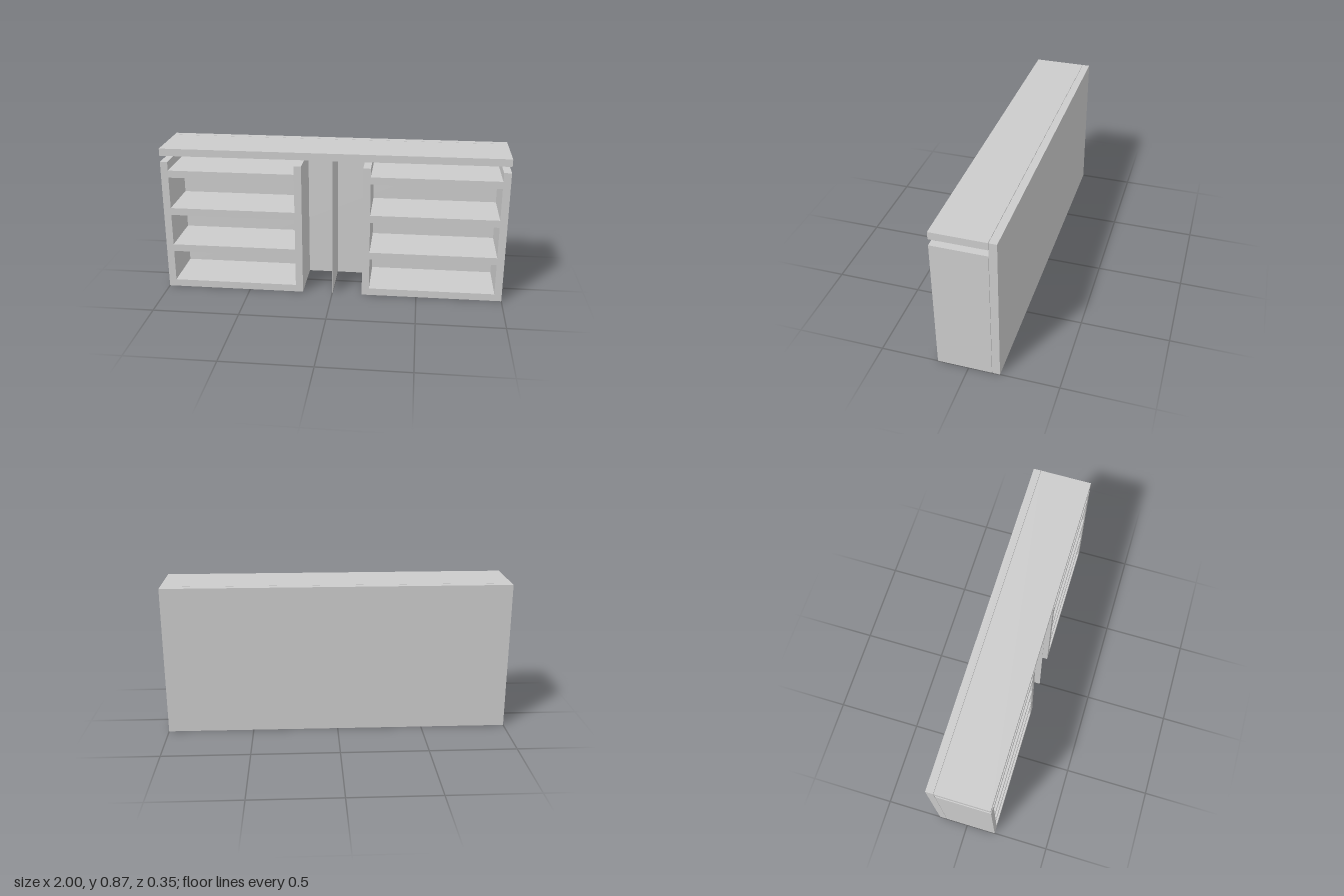
import * as THREE from 'three';

const BOARD = 0.043;            // board thickness
const FRONT = 0.175, BACK = -0.175;
const INNER = -0.13;            // front face of the back panel
const HEIGHT = 0.87, SIDE_HEIGHT = 0.79;

export function createModel() {
  const model = new THREE.Group();
  model.name = 'counterShelf';
  const material = new THREE.MeshStandardMaterial({ color: 0xcccccc });

  // Adds a board spanning the given x, y and z ranges
  function board(parent, name, [x0, x1], [y0, y1], [z0, z1]) {
    const mesh = new THREE.Mesh(new THREE.BoxGeometry(x1 - x0, y1 - y0, z1 - z0), material);
    mesh.position.set((x0 + x1) / 2, (y0 + y1) / 2, (z0 + z1) / 2);
    mesh.name = name;
    parent.add(mesh);
  }

  const depth = [INNER, FRONT];
  board(model, 'backPanel', [-1, 1], [0, HEIGHT], [BACK, INNER - 0.002]);
  board(model, 'counterTop', [-1, 1], [HEIGHT - BOARD, HEIGHT], depth);
  board(model, 'centreDivider', [-0.002, 0.002], [0, HEIGHT - BOARD], depth);

  // Two mirrored shelf units, open at the top below the counter
  for (const side of [-1, 1]) {
    const unit = new THREE.Group();
    unit.name = side > 0 ? 'leftShelfUnit' : 'rightShelfUnit';
    const span = (a, b) => (side > 0 ? [a, b] : [-b, -a]);
    board(unit, 'innerSide', span(0.177, 0.22), [0, SIDE_HEIGHT], depth);
    board(unit, 'outerSide', span(1 - BOARD, 1), [0, SIDE_HEIGHT], depth);
    for (let i = 0; i < 4; i++) {
      const y = i * 0.232;
      board(unit, 'shelf', span(0.22, 1 - BOARD), [y, y + BOARD], depth);
    }
    model.add(unit);
  }
  return model;
}
